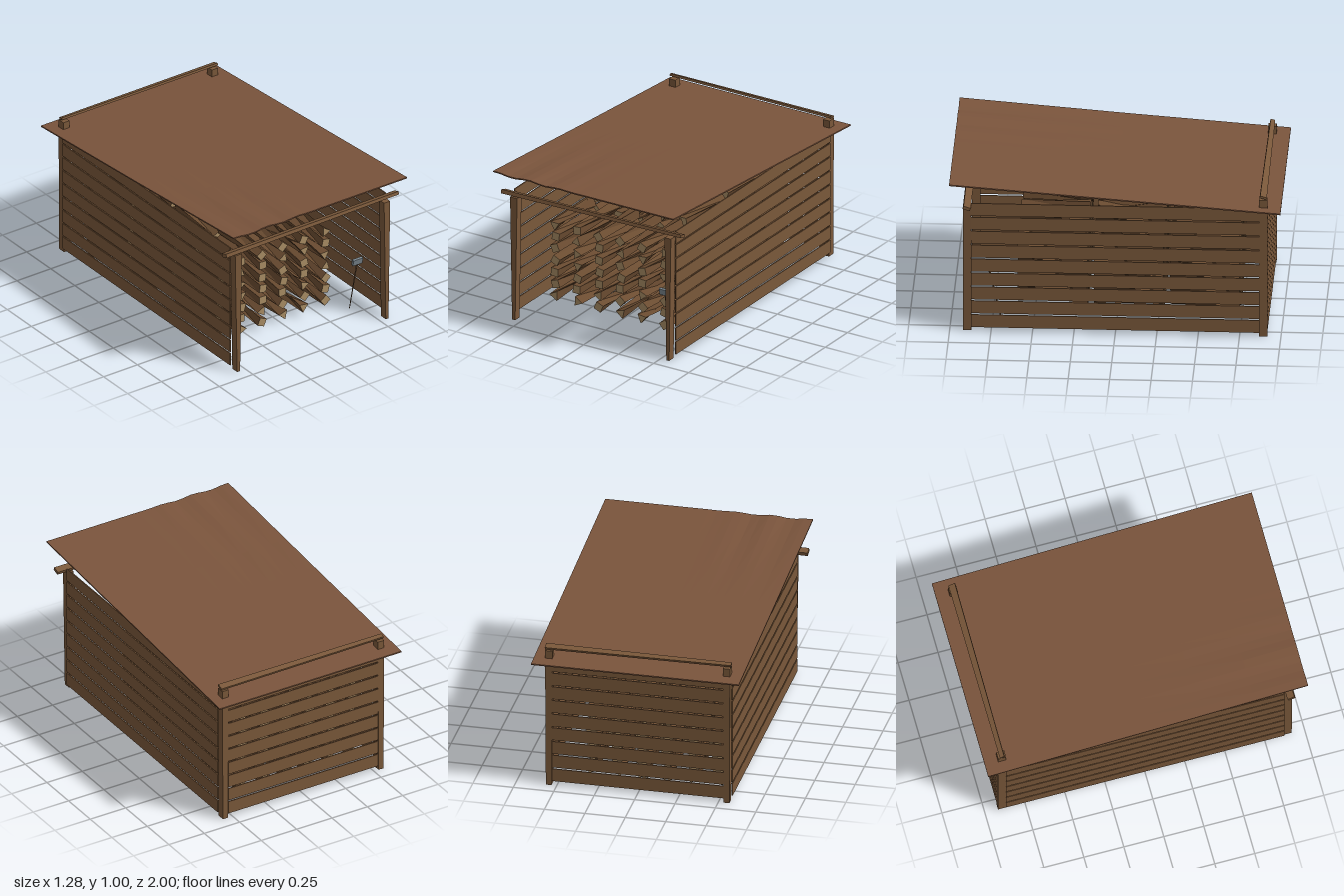
import * as THREE from 'three';

const mat = (color) => new THREE.MeshStandardMaterial({ color, flatShading: true, side: THREE.DoubleSide });
const wood = mat(0x7a583a), darkWood = mat(0x6b4c31), roofWood = mat(0x7a543c);
const cutWood = mat(0xa88c64), steel = mat(0x7c8890);

let seed = 7;
const rand = () => (seed = (seed * 16807) % 2147483647) / 2147483647;

// Moves every vertex of a geometry by a rule
function reshape(geo, rule) {
  const p = geo.attributes.position, v = new THREE.Vector3();
  for (let i = 0; i < p.count; i++) {
    rule(v.fromBufferAttribute(p, i));
    p.setXYZ(i, v.x, v.y, v.z);
  }
  geo.computeVertexNormals();
  return geo;
}

function add(parent, name, geo, material, x = 0, y = 0, z = 0) {
  const mesh = new THREE.Mesh(geo, material);
  mesh.name = name;
  mesh.position.set(x, y, z);
  parent.add(mesh);
  return mesh;
}

// Post standing on the ground, narrowing towards its foot
function post(parent, name, x, z, height, topWidth, footWidth) {
  const geo = reshape(new THREE.BoxGeometry(1, height, 0.05), (v) => {
    v.x *= v.y > 0 ? topWidth : footWidth;
  });
  return add(parent, name, geo, wood, x, height / 2, z);
}

// Roughly split log: front and back ends are turned against each other
function log(parent, x, y, z) {
  const sides = rand() < 0.4 ? 3 : 4, length = 0.42;
  const turn = rand() * Math.PI * 2;
  const twist = (Math.PI / sides) * (0.6 + 0.6 * rand());
  const geo = new THREE.CylinderGeometry(0.036, 0.042, length, sides, 1);
  reshape(geo, (v) => {
    const a = v.y > 0 ? turn : turn + twist;
    const [px, pz] = [v.x, v.z];
    v.x = px * Math.cos(a) - pz * Math.sin(a);
    v.z = px * Math.sin(a) + pz * Math.cos(a);
  });
  geo.rotateX(Math.PI / 2);
  // cylinder groups: side, front end, back end
  add(parent, 'log', geo, [darkWood, cutWood, cutWood],
    x + (rand() - 0.5) * 0.012, y + (rand() - 0.5) * 0.008, z);
}

export function createModel() {
  seed = 7;
  const model = new THREE.Group();
  model.name = 'woodShed';

  // Corner posts
  post(model, 'frontRightPost', -0.55, 0.895, 0.81, 0.05, 0.022);
  post(model, 'frontLeftPost', 0.55, 0.895, 0.81, 0.045, 0.02);
  for (const s of [-1, 1]) post(model, 'backPost', s * 0.55, -0.893, 0.9, 0.045, 0.035);

  // Wall boards with narrow gaps
  const walls = new THREE.Group();
  walls.name = 'walls';
  model.add(walls);
  for (let i = 0; i < 9; i++) {
    const y = 0.069 + i * 0.0918;
    add(walls, 'backBoard', new THREE.BoxGeometry(1.06, 0.082, 0.007), wood, 0, y, -0.914);
    for (const s of [-1, 1]) {
      add(walls, 'sideBoard', new THREE.BoxGeometry(0.007, 0.082, 1.74), wood, s * 0.574, y, 0);
    }
  }

  // Cross beams resting on the posts
  const frontBeam = add(model, 'frontBeam', reshape(new THREE.BoxGeometry(1.28, 0.018, 0.045), (v) => {
    if (v.y < 0) v.y -= 0.004 * (1 - v.x);
  }), wood, 0, 0.832, 0.895);
  frontBeam.rotation.set(-0.3, 0, 0.008);
  const backBeam = add(model, 'backBeam', reshape(new THREE.BoxGeometry(1.15, 0.014, 1), (v) => {
    v.z *= 0.035 + v.x * 0.012;
  }), wood, 0, 0.918, -0.893);
  backBeam.rotation.x = -0.3;

  // Sloping roof sheet with a worn, wavy front edge
  const roof = reshape(new THREE.BoxGeometry(1.285, 0.008, 2, 24, 1, 6), (v) => {
    const front = Math.max(0, v.z);
    const worn = THREE.MathUtils.clamp((0.0 - v.x) / 0.3, 0, 1);
    v.y += v.z * 0.074 + front * worn * 0.006 * Math.sin((v.x + 0.45) * 27);
  });
  add(model, 'roof', roof, roofWood, -0.002, 0.913, 0);

  // Stacked firewood: three rows deep
  const pile = new THREE.Group();
  pile.name = 'firewood';
  model.add(pile);
  for (const z of [0.39, -0.07, -0.53]) {
    for (let c = 0; c < 6; c++) {
      for (let r = 0; r < 7; r++) log(pile, -0.458 + c * 0.156, 0.057 + r * 0.0783, z);
    }
  }

  // Axe leaning beside the pile
  const axe = new THREE.Group();
  axe.name = 'axe';
  axe.position.set(0.435, 0.005, 0.69);
  axe.rotation.x = 0.22;
  model.add(axe);
  add(axe, 'axeHandle', new THREE.CylinderGeometry(0.006, 0.003, 0.36, 4), wood, 0, 0.18, 0);
  add(axe, 'axeHead', new THREE.BoxGeometry(0.07, 0.042, 0.016), steel, 0, 0.372, 0);

  return model;
}
